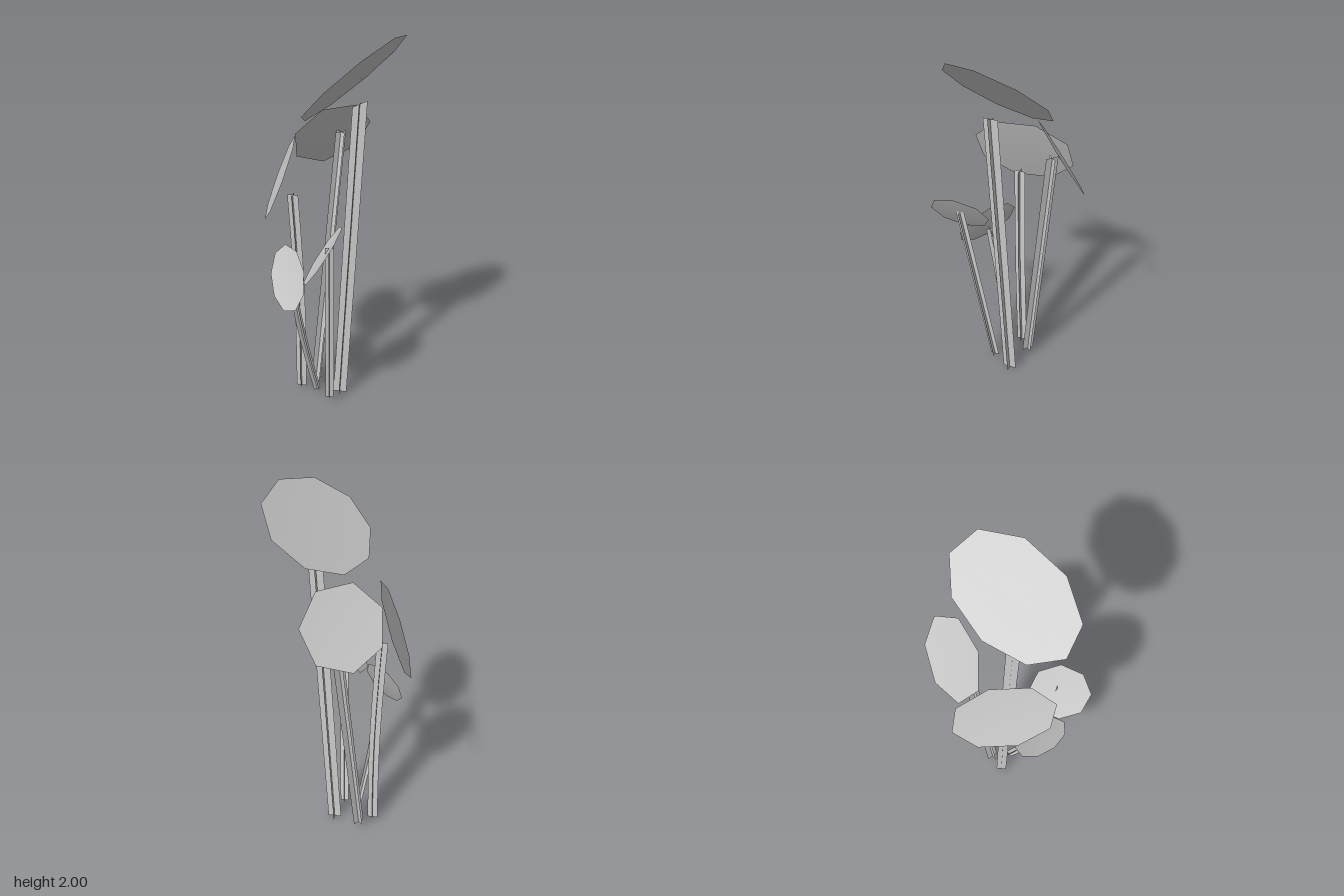
import * as THREE from 'three';

const material = new THREE.MeshStandardMaterial({ color: 0xcccccc, side: THREE.DoubleSide });
const vec = (x, y, z) => new THREE.Vector3(x, y, z);

function mesh(name, points, index) {
  const g = new THREE.BufferGeometry().setFromPoints(points);
  g.setIndex(index);
  g.computeVertexNormals();
  const m = new THREE.Mesh(g, material);
  m.name = name;
  return m;
}

// Leaf blade: a tilted oval with a few sides, spanned by two half-axes, its centre slightly sunken
function leaf(sides, centre, u, v) {
  const sunken = u.clone().cross(v).setLength(-0.01).add(centre);
  const points = [sunken], index = [];
  for (let i = 0; i < sides; i++) {
    const a = i / sides * Math.PI * 2;
    points.push(centre.clone().addScaledVector(u, Math.cos(a)).addScaledVector(v, Math.sin(a)));
    index.push(0, i + 1, (i + 1) % sides + 1);
  }
  return mesh('leafBlade', points, index);
}

// Stalk: two crossed strips from base to tip, optionally bowed along x and turned about y
function stalk(base, tip, width, { turn = 0, bow = 0, topSlope = 0 } = {}) {
  const group = new THREE.Group();
  group.name = 'stalk';
  const steps = 6;
  for (const angle of [turn, turn + Math.PI / 2]) {
    const half = vec(Math.cos(angle), 0, Math.sin(angle)).multiplyScalar(width / 2);
    const points = [], index = [];
    for (let i = 0; i <= steps; i++) {
      const t = i / steps, k = i * 2;
      const p = base.clone().lerp(tip, t);
      p.x += bow * Math.sin(Math.PI * t);
      const side = half.clone();
      if (i === steps) side.y = topSlope * half.x;
      points.push(p.clone().sub(side), p.clone().add(side));
      if (i < steps) index.push(k, k + 1, k + 2, k + 1, k + 3, k + 2);
    }
    group.add(mesh('stalkStrip', points, index));
  }
  return group;
}

function plant(name, ...parts) {
  const group = new THREE.Group();
  group.name = name;
  return group.add(...parts);
}

export function createModel() {
  const model = new THREE.Group();
  model.name = 'leafCluster';
  const diagonal = Math.PI / 4;
  model.add(
    plant('tallestLeaf',
      leaf(9, vec(0.12, 1.8, 0.008), vec(0.188, 0.2, 0.025), vec(0.126, 0.027, -0.305)),
      stalk(vec(0.055, 0, -0.035), vec(0.152, 1.68, 0.025), 0.072, { topSlope: 0.5 })),
    plant('rearLeaf',
      leaf(7, vec(-0.033, 1.425, -0.261), vec(0.131, 0.169, 0.022), vec(0.134, -0.079, -0.152)),
      stalk(vec(-0.09, 0.03, -0.09), vec(0.02, 1.45, -0.232), 0.064, { turn: diagonal })),
    plant('sideLeaf',
      leaf(8, vec(-0.249, 1.272, 0.002), vec(0.095, 0.198, 0.117), vec(-0.003, 0.085, -0.224)),
      stalk(vec(-0.16, 0.02, -0.03), vec(-0.185, 1.185, 0.005), 0.056, { bow: 0.012 })),
    plant('frontLeaf',
      leaf(8, vec(0.014, 0.986, 0.259), vec(0.006, 0, 0.16), vec(0.093, 0.148, -0.01)),
      stalk(vec(0.015, 0.03, 0.07), vec(0.045, 1.02, 0.243), 0.046)),
    plant('lowestLeaf',
      leaf(9, vec(-0.179, 0.807, 0.188), vec(0.041, 0.136, -0.038), vec(-0.099, 0.049, -0.122)),
      stalk(vec(-0.065, 0.03, 0.005), vec(-0.165, 0.78, 0.165), 0.042, { turn: diagonal, bow: -0.01 })),
  );
  return model;
}
